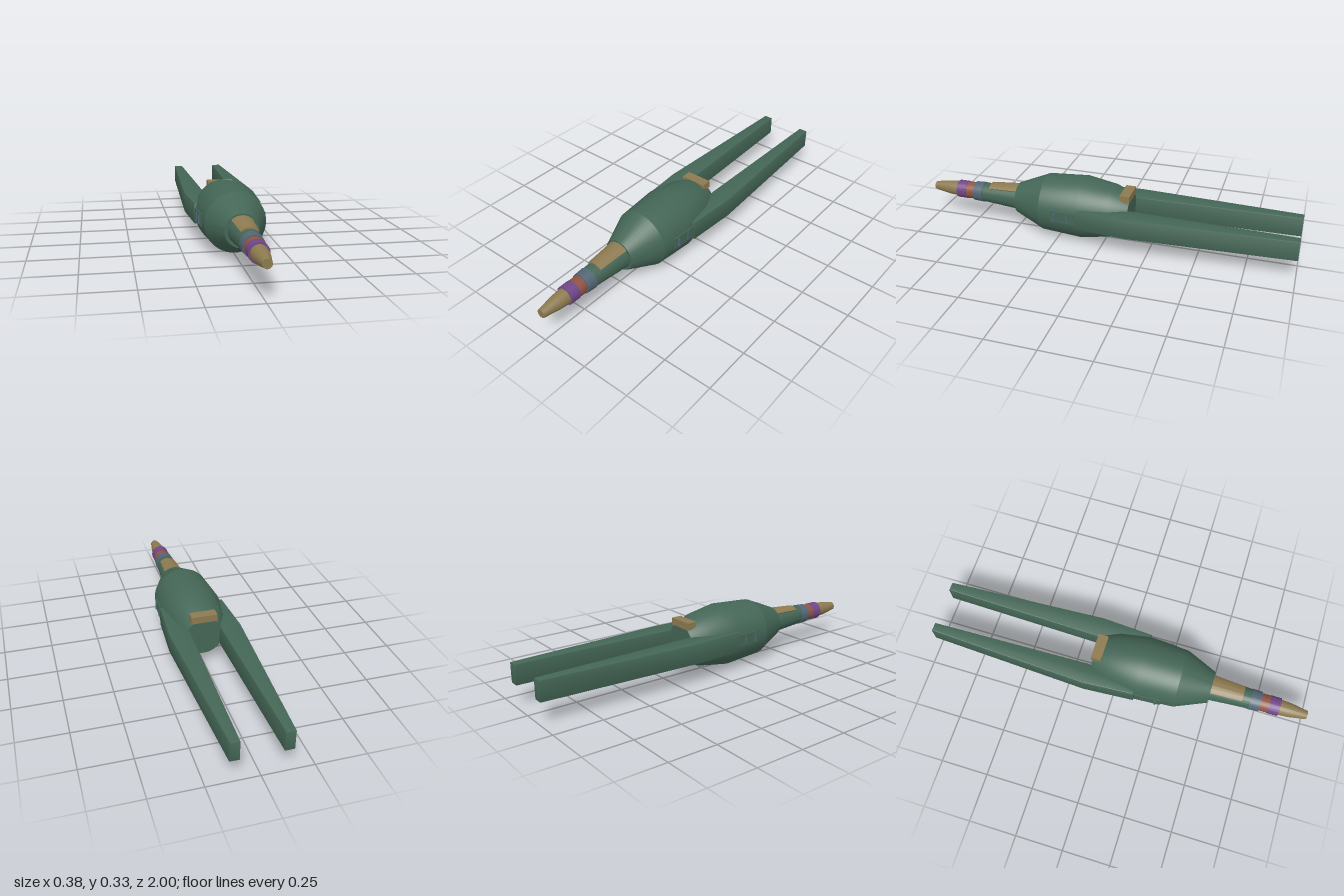
import * as THREE from 'three';
import { toCreasedNormals } from 'three/addons/utils/BufferGeometryUtils.js';

const AXIS_Y = 0.167;

function material(name, color, side = THREE.FrontSide) {
  const m = new THREE.MeshStandardMaterial({ color, side });
  m.name = name;
  return m;
}

export function createModel() {
  const model = new THREE.Group();
  model.name = 'podShip';
  const green = material('hullGreen', 0x446656);
  const gold = material('ochre', 0x8c7a50, THREE.DoubleSide);
  const purple = material('purple', 0x704688);
  const rust = material('rust', 0x8f5343);
  const slate = material('slateBlue', 0x526674);

  function add(name, geometry, mat, x = 0, y = 0, z = 0) {
    const mesh = new THREE.Mesh(geometry, mat);
    mesh.name = name;
    mesh.position.set(x, y, z);
    model.add(mesh);
    return mesh;
  }

  // Round parts: [radius, z] profiles turned about the long axis
  function turned(name, profile, mat) {
    const points = profile.map(([r, z]) => new THREE.Vector2(r, z));
    const g = new THREE.LatheGeometry(points, 64).rotateX(Math.PI / 2);
    return add(name, toCreasedNormals(g, 0.27), mat, 0, AXIS_Y);
  }

  turned('body', [[0, -0.135], [0.1, -0.135], [0.14, -0.04], [0.166, 0.12],
    [0.152, 0.33], [0.083, 0.493], [0, 0.493]], green);
  turned('neck', [[0.068, 0.48], [0.051, 0.705], [0, 0.705]], green);
  turned('slateBand', [[0, 0.7], [0.055, 0.7], [0.052, 0.755], [0, 0.755]], slate);
  turned('rustBand', [[0, 0.75], [0.046, 0.75], [0.046, 0.805], [0, 0.805]], rust);
  turned('purpleBand', [[0, 0.8], [0.048, 0.8], [0.048, 0.855], [0, 0.855]], purple);
  turned('noseTip', [[0, 0.85], [0.041, 0.85], [0.037, 0.91], [0.022, 1], [0, 1]], gold);

  // Curved cover over the top of the neck, with its two side walls
  const section = [[0.06, 0.485], [0.076, 0.485], [0.061, 0.66], [0.048, 0.66]]
    .map(([r, z]) => new THREE.Vector2(r, z));
  const half = 0.75;
  const cover = new THREE.LatheGeometry(section, 16, Math.PI - half, 2 * half).rotateX(Math.PI / 2);
  add('neckCover', toCreasedNormals(cover, 0.4), gold, 0, AXIS_Y);
  for (const s of [-1, 1]) {
    const wall = new THREE.ShapeGeometry(new THREE.Shape(section));
    wall.rotateY(Math.PI / 2 + s * half).rotateX(Math.PI / 2);
    add('neckCoverSide', wall, gold, 0, AXIS_Y);
  }

  // Block on the rear edge of the body
  add('rearBlock', new THREE.BoxGeometry(0.136, 0.037, 0.053), gold, 0, 0.271, -0.1125);

  // Long tapering arms and their latch plates, mirrored
  const plan = [[0.1, -1], [0.147, -1], [0.189, -0.15], [0.172, 0.12], [0.125, 0.12], [0.08, -0.15]];
  const bevel = 0.005;
  for (const s of [1, -1]) {
    const side = s > 0 ? 'left' : 'right';
    const shape = new THREE.Shape(plan.map(([x, z]) => new THREE.Vector2(s * x, -z)));
    const arm = new THREE.ExtrudeGeometry(shape, {
      depth: 0.106 - 2 * bevel, bevelThickness: bevel, bevelSize: bevel,
      bevelOffset: -bevel, bevelSegments: 2,
    }).rotateX(-Math.PI / 2);
    add(side + 'Arm', toCreasedNormals(arm, 0.5), green, 0, 0.114 + bevel, 0);

    const plate = add(side + 'LatchPlate', new THREE.BoxGeometry(0.03, 0.062, 0.15),
      green, s * 0.15, AXIS_Y, 0.185);
    plate.rotation.y = -s * 0.05;
    for (const z of [0.165, 0.235]) {
      add(side + 'LatchFin', new THREE.BoxGeometry(0.014, 0.046, 0.008),
        slate, s * 0.163, AXIS_Y, z);
    }
  }
  return model;
}
